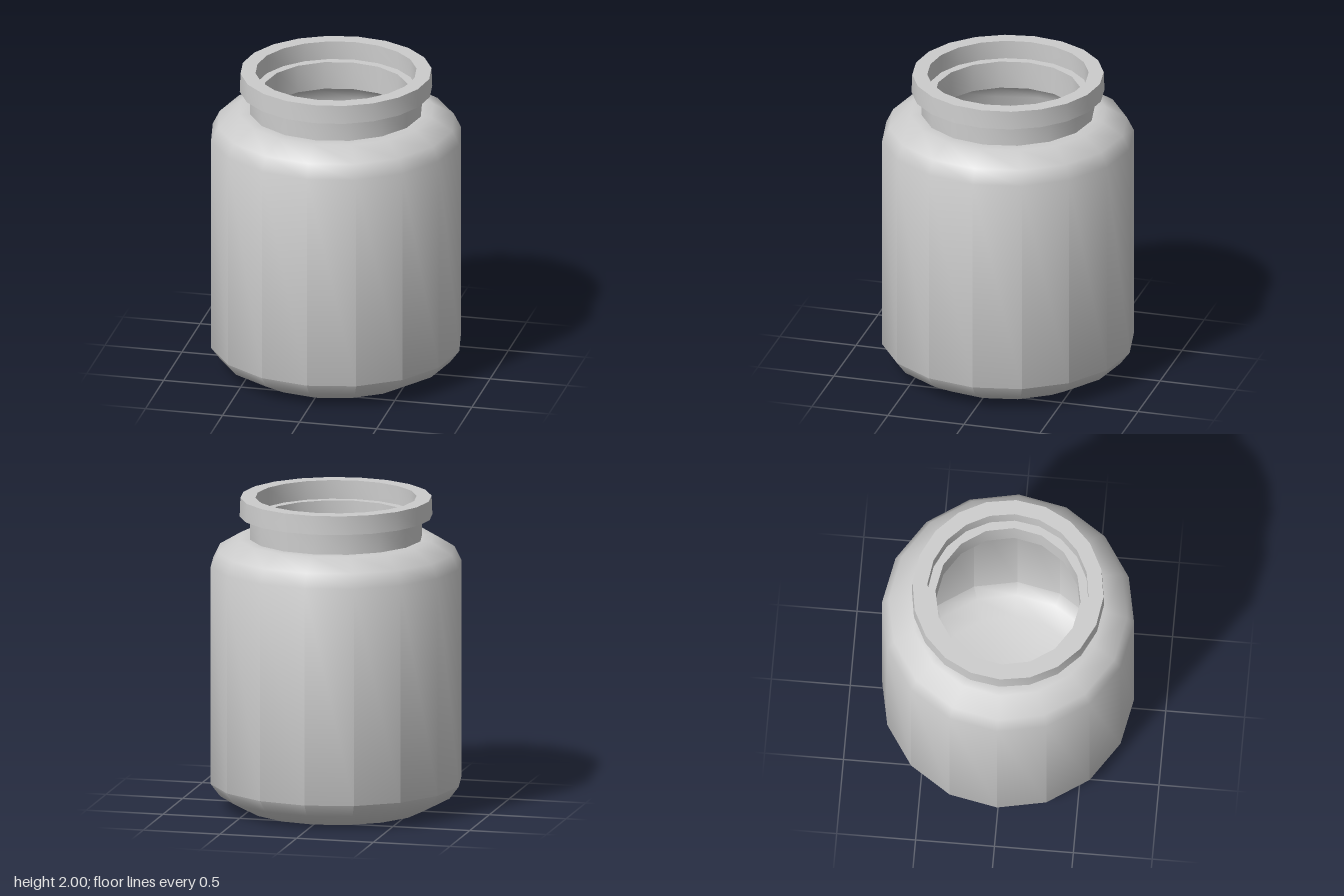
import * as THREE from 'three';
import { toCreasedNormals } from 'three/addons/utils/BufferGeometryUtils.js';

const SIDES = 16;

export function createModel() {
  const jar = new THREE.Group();
  jar.name = 'jar';
  const glass = new THREE.MeshStandardMaterial({ color: 0xcccccc });
  glass.name = 'pale grey';

  // Turns a [radius, height] profile; outer walls run upward, inner walls downward
  function turn(name, profile, sides = SIDES) {
    const points = profile.map(([r, y]) => new THREE.Vector2(r, y));
    const geometry = toCreasedNormals(new THREE.LatheGeometry(points, sides), 0.7);
    const mesh = new THREE.Mesh(geometry, glass);
    mesh.name = name;
    jar.add(mesh);
  }

  // Rounded outer body with bevelled foot and shoulder
  turn('body', [
    [0, 0], [0.57, 0], [0.74, 0.09], [0.8, 0.17],
    [0.8, 1.57], [0.755, 1.66], [0.62, 1.74], [0.55, 1.74],
  ]);

  // Hollow inside, from below the neck down to the floor
  turn('interior', [
    [0.46, 1.7], [0.56, 1.68], [0.66, 1.61], [0.71, 1.53],
    [0.71, 0.2], [0.65, 0.12], [0.52, 0.08], [0, 0.08],
  ]);

  // Neck, with a ledge on top inside the rim
  turn('neck', [[0.55, 1.74], [0.55, 1.88], [0.46, 1.88], [0.46, 1.7]]);

  // Raised rim ring around the mouth
  turn('rim', [
    [0.51, 1.88], [0.61, 1.88], [0.605, 2], [0.51, 2], [0.51, 1.88],
  ], 20);

  return jar;
}
